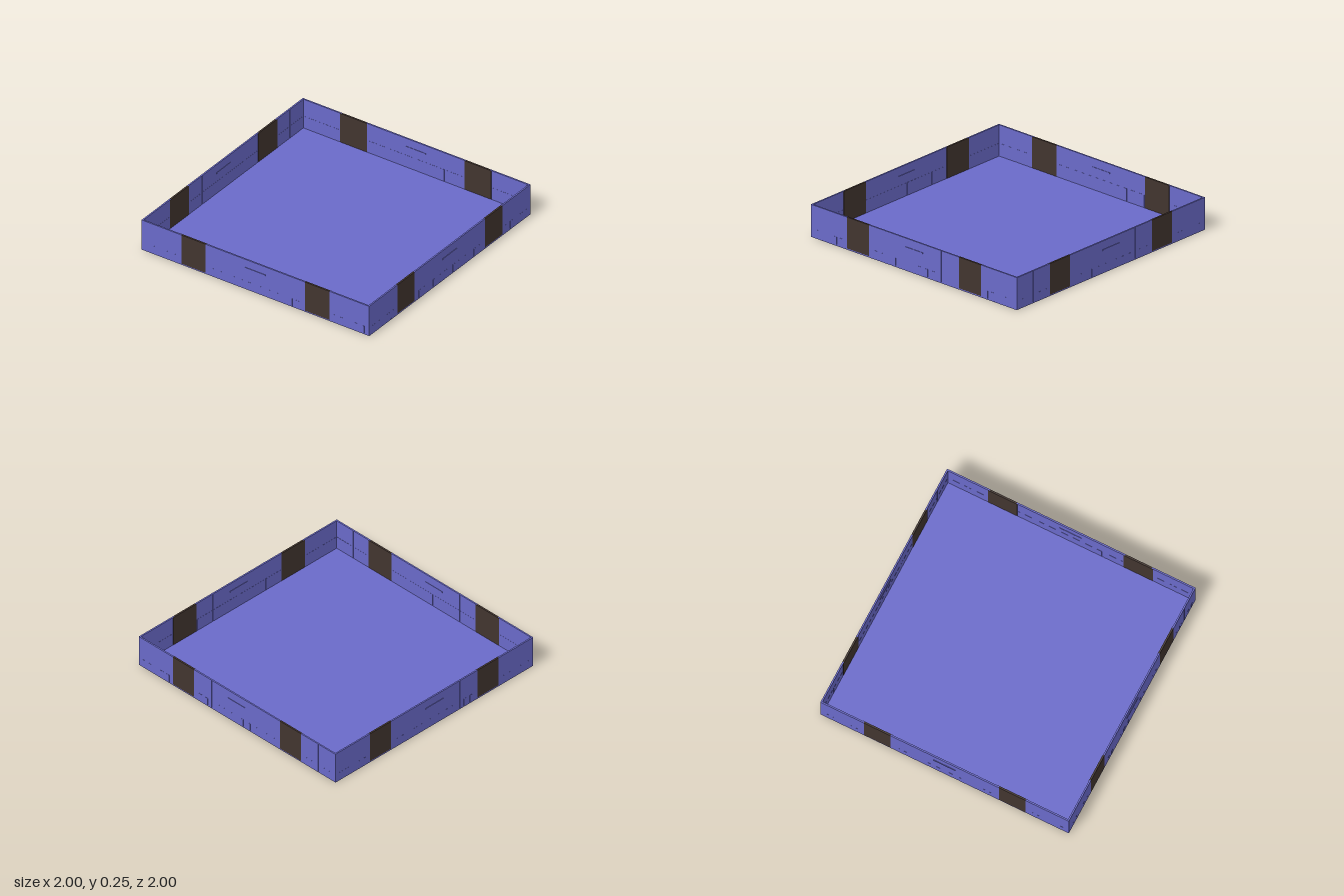
import * as THREE from 'three';

const OUT = 0.996, THICK = 0.012, BASE = 0.01, TOP = 0.252;
const DOOR_IN = 0.435, DOOR_OUT = 0.648;

const material = (name, color) => {
  const m = new THREE.MeshStandardMaterial({ color });
  m.name = name;
  return m;
};

// Box given by its limits on each axis
function block(parent, name, mat, [x0, x1], [y0, y1], [z0, z1]) {
  const mesh = new THREE.Mesh(new THREE.BoxGeometry(x1 - x0, y1 - y0, z1 - z0), mat);
  mesh.position.set((x0 + x1) / 2, (y0 + y1) / 2, (z0 + z1) / 2);
  mesh.name = name;
  parent.add(mesh);
  return mesh;
}

// One wall facing +z, with two doors, a ledge and shallow panelling
function makeWall(blue, brown) {
  const wall = new THREE.Group();
  const depth = [OUT - THICK, OUT], height = [BASE, TOP];

  // Plain wall sections; one end stops short so the next wall fills the corner
  block(wall, 'wallSection', blue, [-OUT, -DOOR_OUT], height, depth);
  block(wall, 'wallSection', blue, [-DOOR_IN, DOOR_IN], height, depth);
  block(wall, 'wallSection', blue, [DOOR_OUT, OUT - THICK], height, depth);

  for (const s of [-1, 1]) {
    const span = (a, b) => (s > 0 ? [a, b] : [-b, -a]);
    // Door through the wall, slightly wider on the inner face
    block(wall, 'door', brown, span(DOOR_IN, DOOR_OUT), height, depth);
    block(wall, 'innerDoorFrame', brown, span(0.427, 0.662), height, [OUT - THICK - 0.002, OUT - THICK]);
    // Upright seam strips
    for (const x of [0.26, 0.82]) {
      block(wall, 'seamStrip', blue, span(x - 0.004, x + 0.004), height, [OUT - THICK - 0.001, OUT + 0.001]);
    }
    // Low slats along the foot of the outer face
    for (const x of [0.05, 0.12, 0.19, 0.31, 0.37, 0.7, 0.76, 0.88, 0.94]) {
      block(wall, 'footSlat', blue, span(x - 0.014, x + 0.014), [BASE, 0.07], [OUT, OUT + 0.001]);
    }
    // Inner lower panels
    for (const [a, b] of [[0.01, 0.25], [0.27, 0.42], [0.67, 0.81], [0.83, 0.98]]) {
      block(wall, 'innerPanel', blue, span(a, b), [BASE, 0.11], [OUT - THICK - 0.001, OUT - THICK]);
    }
  }
  // Narrow ledge passing through the middle of the wall
  block(wall, 'ledge', blue, [-0.088, 0.088], [0.176, 0.186], [OUT - THICK - 0.003, 1]);
  return wall;
}

export function createModel() {
  const model = new THREE.Group();
  model.name = 'walledFloor';
  const blue = material('violetBlue', 0x6a6ac9);
  const brown = material('darkBrown', 0x42352f);

  // Floor slab with long planks on its underside
  const floor = new THREE.Group();
  floor.name = 'floor';
  block(floor, 'floorSlab', blue, [-OUT, OUT], [0.003, BASE], [-OUT, OUT]);
  const planks = 18, width = (2 * OUT) / planks;
  for (let i = 0; i < planks; i++) {
    const x = -OUT + i * width;
    block(floor, 'plank', blue, [x + 0.002, x + width - 0.002], [0, 0.003], [-OUT, OUT]);
  }
  model.add(floor);

  // Four identical walls around the floor
  ['frontWall', 'leftWall', 'backWall', 'rightWall'].forEach((name, i) => {
    const wall = makeWall(blue, brown);
    wall.name = name;
    wall.rotation.y = (i * Math.PI) / 2;
    model.add(wall);
  });
  return model;
}
